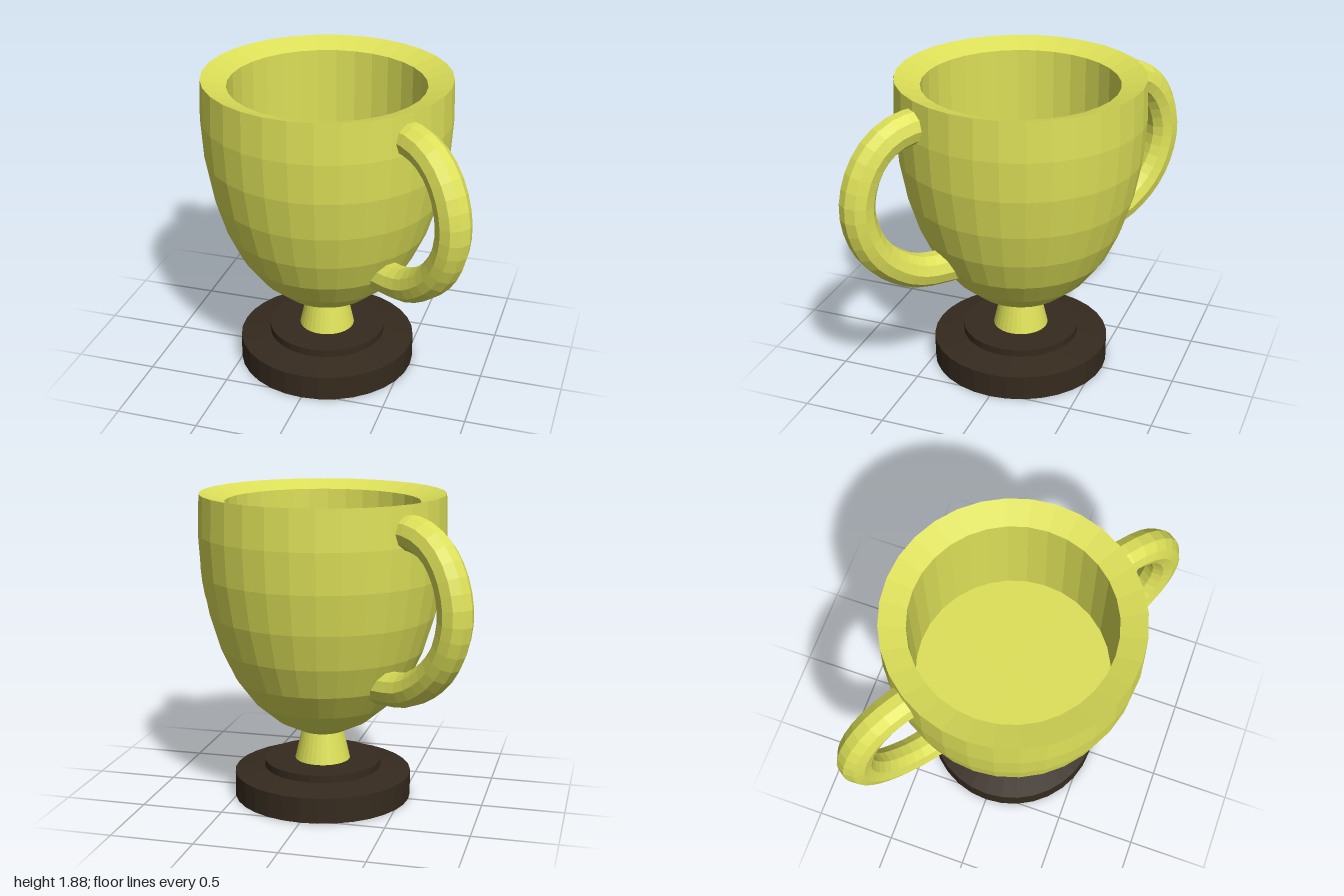
import * as THREE from 'three';

const SIDES = 32;
const HANDLE_ANGLE = THREE.MathUtils.degToRad(35);

const v2 = ([r, y]) => new THREE.Vector2(r, y);

export function createModel() {
  const model = new THREE.Group();
  model.name = 'trophy';
  const gold = new THREE.MeshStandardMaterial({ color: 0xdde058, flatShading: true });
  const wood = new THREE.MeshStandardMaterial({ color: 0x352a1e, flatShading: true });

  const add = (name, geometry, material) => {
    const mesh = new THREE.Mesh(geometry, material);
    mesh.name = name;
    model.add(mesh);
    return mesh;
  };
  const turned = (name, profile, material) =>
    add(name, new THREE.LatheGeometry(profile.map(v2), SIDES), material);

  // Plinth: wide disc, shallow slope, raised step
  turned('base', [
    [0, 0], [0.545, 0], [0.545, 0.155], [0.36, 0.185], [0.36, 0.23], [0, 0.23],
  ], wood);

  // Tapered stem, slightly sunk into its neighbours
  turned('stem', [[0.17, 0.225], [0.17, 0.23], [0.125, 0.43]], gold);

  // Bowl: outside going up, inward-sloping rim, straight cavity and floor
  turned('cup', [
    [0, 0.42], [0.145, 0.42], [0.285, 0.49], [0.42, 0.605], [0.535, 0.76],
    [0.62, 0.945], [0.685, 1.16], [0.728, 1.4], [0.743, 1.64], [0.735, 1.88],
    [0.585, 1.83], [0.585, 1.1], [0, 1.1],
  ], gold);

  // Ear-shaped handles, ends buried in the bowl wall
  const path = new THREE.CatmullRomCurve3([
    [0.69, 1.725], [0.78, 1.72], [0.88, 1.69], [0.98, 1.615], [1.06, 1.49], [1.1, 1.31],
    [1.065, 1.13], [0.98, 0.985], [0.85, 0.875], [0.72, 0.815], [0.5, 0.79],
  ].map(([r, y]) => new THREE.Vector3(r, y, 0)));
  const handleGeometry = new THREE.TubeGeometry(path, 20, 0.102, 10, false);
  for (const [name, turn] of [['leftHandle', 0], ['rightHandle', Math.PI]]) {
    add(name, handleGeometry, gold).rotation.y = turn - HANDLE_ANGLE;
  }

  return model;
}
